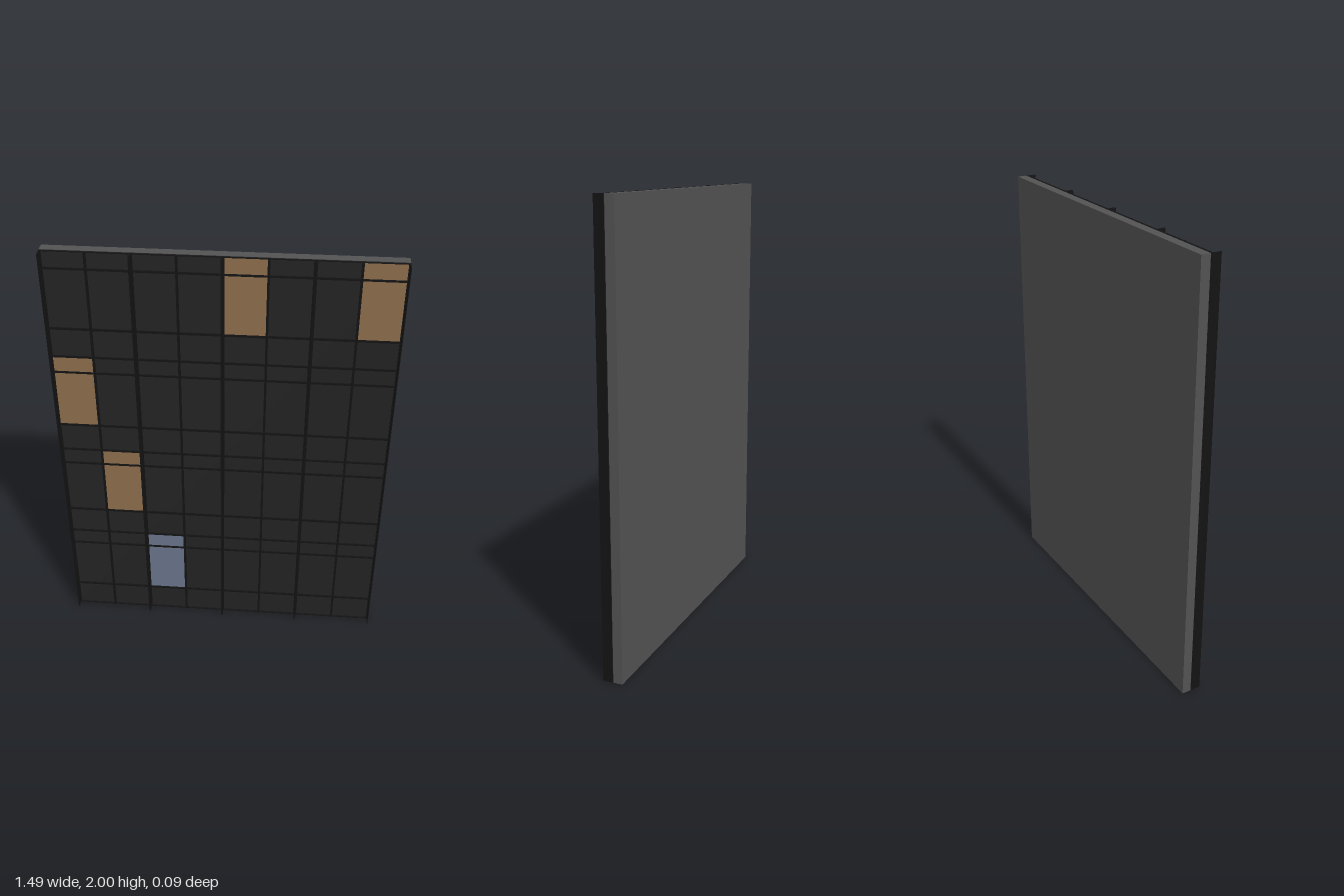
import * as THREE from 'three';

export function createModel() {
  const group = new THREE.Group();
  const mat = (name, color) => {
    const m = new THREE.MeshStandardMaterial({ color });
    m.name = name;
    return m;
  };
  const slabGrey = mat('slabGrey', 0x525252);
  const darkGlass = mat('darkGlass', 0x232323);
  const frameBlack = mat('frameBlack', 0x131313);
  const warmGlass = mat('warmGlass', 0x8c6c4a);
  const coolGlass = mat('coolGlass', 0x69748a);

  // Box given by its min and max corners
  const box = (name, m, x0, x1, y0, y1, z0, z1) => {
    const mesh = new THREE.Mesh(new THREE.BoxGeometry(x1 - x0, y1 - y0, z1 - z0), m);
    mesh.position.set((x0 + x1) / 2, (y0 + y1) / 2, (z0 + z1) / 2);
    mesh.name = name;
    group.add(mesh);
  };

  const W = 0.747, H = 2, FLOOR = 0.5, BAY = W / 4;

  // Backing slab and the sheet of dark glass in front of it
  box('backSlab', slabGrey, -W, W, 0, H, -0.045, -0.003);
  box('glassSheet', darkGlass, -W + 0.002, W - 0.002, 0.001, H - 0.001, -0.003, 0.003);

  // Lit windows: [bay, floor, glass]
  const lit = [
    [4, 3, warmGlass], [7, 3, warmGlass], [0, 2, warmGlass],
    [1, 1, warmGlass], [2, 0, coolGlass],
  ];
  for (const [bay, floor, glass] of lit) {
    const x = -W + bay * BAY, y = floor * FLOOR;
    box('litWindow', glass, x + 0.003, x + BAY - 0.003, y + 0.14, y + FLOOR - 0.001, 0.003, 0.005);
  }

  // Horizontal transoms on every floor: base line, sill and upper light bar
  for (let f = 0; f < 4; f++) {
    const y = f * FLOOR;
    box('floorTransom', frameBlack, -W, W, Math.max(0, y - 0.003), y + 0.005, 0.003, 0.01);
    box('sillTransom', frameBlack, -W, W, y + 0.135, y + 0.144, 0.003, 0.01);
    box('upperTransom', frameBlack, -W, W, y + 0.417, y + 0.425, 0.003, 0.01);
  }
  box('topTransom', frameBlack, -W, W, H - 0.003, H, 0.003, 0.01);

  // Vertical mullions; every second one carries a deep fin
  for (let i = 0; i <= 8; i++) {
    const x = -W + i * BAY;
    const span = (h) => [Math.max(-W, x - h), Math.min(W, x + h)];
    if (i % 2) {
      box('mullion', frameBlack, ...span(0.005), 0, H, 0.003, 0.013);
    } else {
      box('finBase', frameBlack, ...span(0.008), 0, H, 0.003, 0.01);
      box('fin', frameBlack, ...span(0.004), 0, H, 0, 0.045);
    }
  }
  return group;
}
